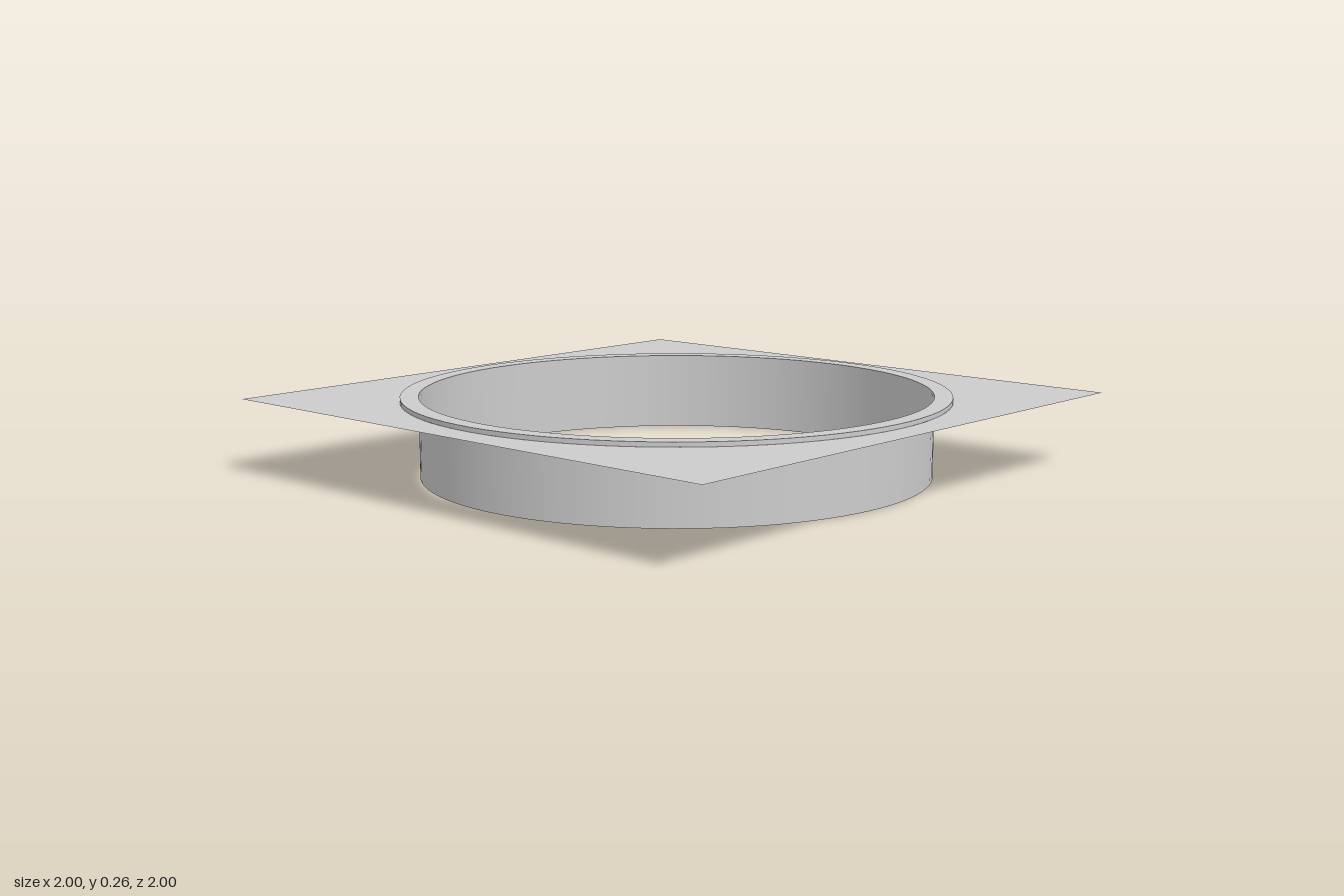
import * as THREE from 'three';
import { toCreasedNormals } from 'three/addons/utils/BufferGeometryUtils.js';

const SEGMENTS = 96;
const TUBE_R = 0.84, FLANGE_R = 0.9;
const PLATE_Y = 0.25, TOP_Y = 0.265;

export function createModel() {
  const group = new THREE.Group();
  const material = new THREE.MeshStandardMaterial({ color: 0xcccccc, side: THREE.DoubleSide });
  const add = (name, geometry) => {
    const mesh = new THREE.Mesh(geometry, material);
    mesh.name = name;
    group.add(mesh);
    return mesh;
  };

  // Thin open collar reaching down to the ground
  add('collar', new THREE.CylinderGeometry(TUBE_R, TUBE_R, PLATE_Y, SEGMENTS, 1, true))
    .position.y = PLATE_Y / 2;

  // Raised flat ring around the top of the collar
  const profile = [
    [TUBE_R, PLATE_Y], [FLANGE_R, PLATE_Y], [FLANGE_R, TOP_Y], [TUBE_R, TOP_Y], [TUBE_R, PLATE_Y],
  ].map(([r, y]) => new THREE.Vector2(r, y));
  add('flangeRing', toCreasedNormals(new THREE.LatheGeometry(profile, SEGMENTS), Math.PI / 6));

  // Paper-thin square plate with a round opening that meets the ring
  const square = new THREE.Shape([[-1, -1], [1, -1], [1, 1], [-1, 1]].map(([x, y]) => new THREE.Vector2(x, y)));
  square.holes.push(new THREE.Path().absarc(0, 0, FLANGE_R, 0, Math.PI * 2, true));
  const plate = new THREE.ShapeGeometry(square, SEGMENTS).rotateX(-Math.PI / 2);
  add('squarePlate', plate).position.y = PLATE_Y;

  return group;
}
